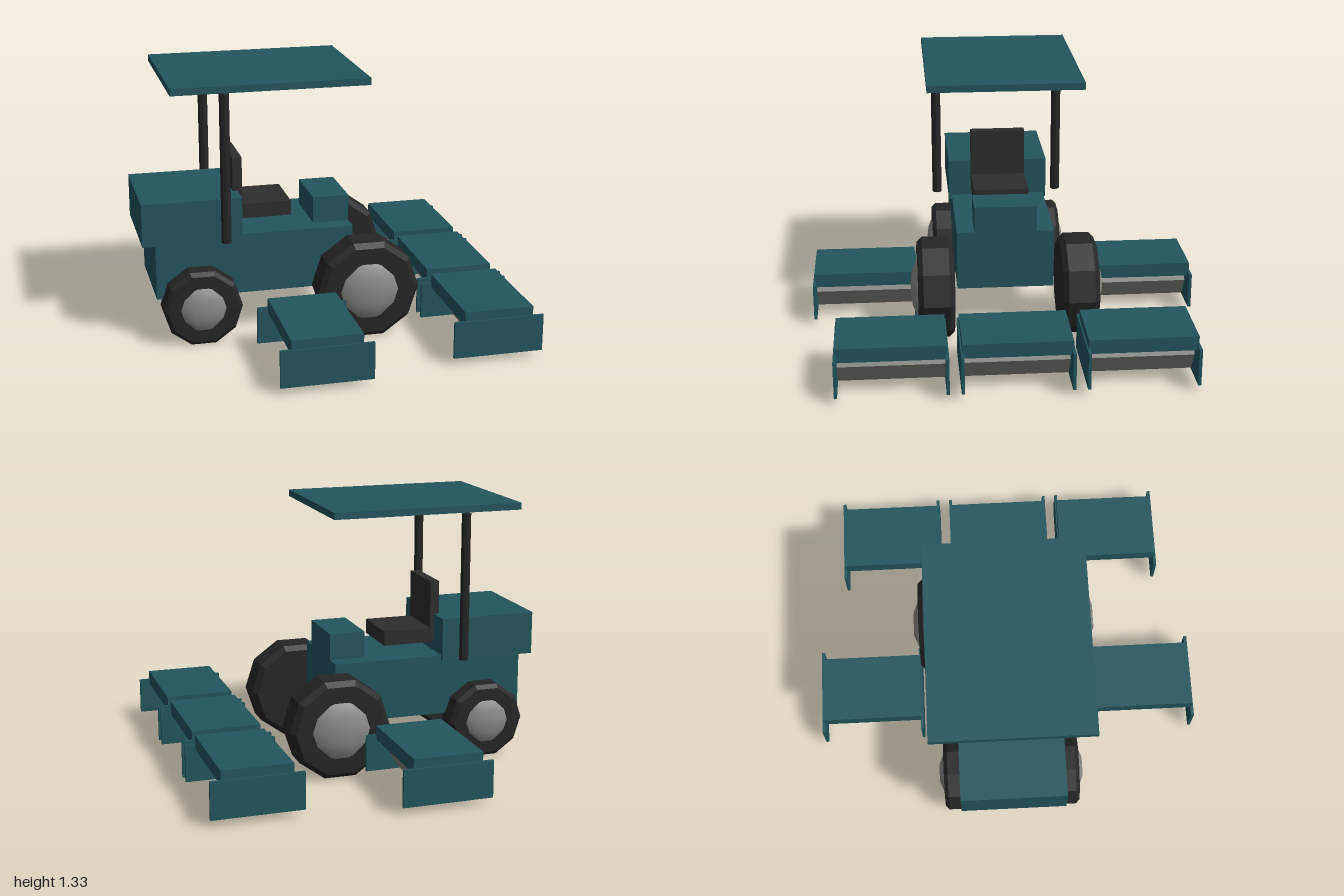
import * as THREE from 'three';

const material = (name, color, flatShading = true) => {
  const m = new THREE.MeshStandardMaterial({ color, flatShading });
  m.name = name;
  return m;
};

export function createModel() {
  const teal = material('teal paint', 0x23565d);
  const rubber = material('black rubber', 0x262626);
  const vinyl = material('dark seat', 0x2d2d2d);
  const metal = material('grey metal', 0x8a8a87, false);
  const blade = material('reel steel', 0x858580);

  const model = new THREE.Group();
  model.name = 'reelMower';

  const add = (parent, name, geometry, mat, x = 0, y = 0, z = 0) => {
    const mesh = new THREE.Mesh(geometry, mat);
    mesh.name = name;
    mesh.position.set(x, y, z);
    parent.add(mesh);
    return mesh;
  };
  // Box given by its x and y ranges, depth and z centre
  const box = (parent, name, mat, x0, x1, y0, y1, depth, z = 0) =>
    add(parent, name, new THREE.BoxGeometry(x1 - x0, y1 - y0, depth), mat, (x0 + x1) / 2, (y0 + y1) / 2, z);

  // Bodywork
  box(model, 'chassis', teal, -0.87, 0.135, 0.23, 0.54, 0.5);
  box(model, 'engineCover', teal, -0.935, -0.435, 0.515, 0.735, 0.53);
  box(model, 'console', teal, -0.05, 0.135, 0.54, 0.675, 0.32);
  box(model, 'canopy', teal, -0.795, 0.185, 1.3, 1.335, 0.785);

  // Seat
  box(model, 'seatCushion', vinyl, -0.43, -0.162, 0.587, 0.662, 0.29);
  box(model, 'seatBack', vinyl, -0.46, -0.412, 0.6, 0.907, 0.29);

  // Wheel: ten-sided tyre with chamfered shoulders and a domed hub on the outside
  const wheel = (name, x, y, z, r, width, side) => {
    const group = new THREE.Group();
    group.name = name;
    group.position.set(x, y, side * z);
    const h = width / 2, c = r * 0.1;
    const profile = [[0, -h], [r - c, -h], [r, -h + c], [r, h - c], [r - c, h], [0, h]]
      .map(([px, py]) => new THREE.Vector2(px, py));
    const tyre = new THREE.LatheGeometry(profile, 10, Math.PI / 10);
    tyre.rotateX(Math.PI / 2);
    add(group, 'tyre', tyre, rubber);
    const hub = add(group, 'hub', new THREE.SphereGeometry(r * 0.72, 10, 8), metal, 0, 0, side * (h - r * 0.23));
    hub.scale.z = 0.53;
    model.add(group);
  };

  for (const side of [1, -1]) {
    wheel('frontWheel', 0.17, 0.26, 0.365, 0.26, 0.185, side);
    wheel('rearWheel', -0.652, 0.198, 0.284, 0.2, 0.14, side);
    // Canopy post
    add(model, 'canopyPost', new THREE.CylinderGeometry(0.025, 0.025, 0.755, 8), rubber, -0.527, 0.908, side * 0.327);
  }

  // Cutting unit: deck, two end plates and a six-sided reel
  const cuttingUnit = (x, z) => {
    const group = new THREE.Group();
    group.name = 'cuttingUnit';
    group.position.set(x, 0, z);
    box(group, 'deck', teal, -0.173, 0.173, 0.2, 0.272, 0.53);
    for (const side of [1, -1]) {
      box(group, 'endPlate', teal, -0.226, 0.226, 0.04, 0.226, 0.015, side * 0.2645);
    }
    const reel = new THREE.CylinderGeometry(0.115, 0.115, 0.515, 6, 1, false, Math.PI / 6);
    reel.rotateX(Math.PI / 2);
    add(group, 'reel', reel, blade, 0, 0.148, 0);
    model.add(group);
  };
  for (const z of [-0.6, 0, 0.6]) cuttingUnit(0.705, z);
  for (const z of [-0.728, 0.728]) cuttingUnit(-0.18, z);

  return model;
}
